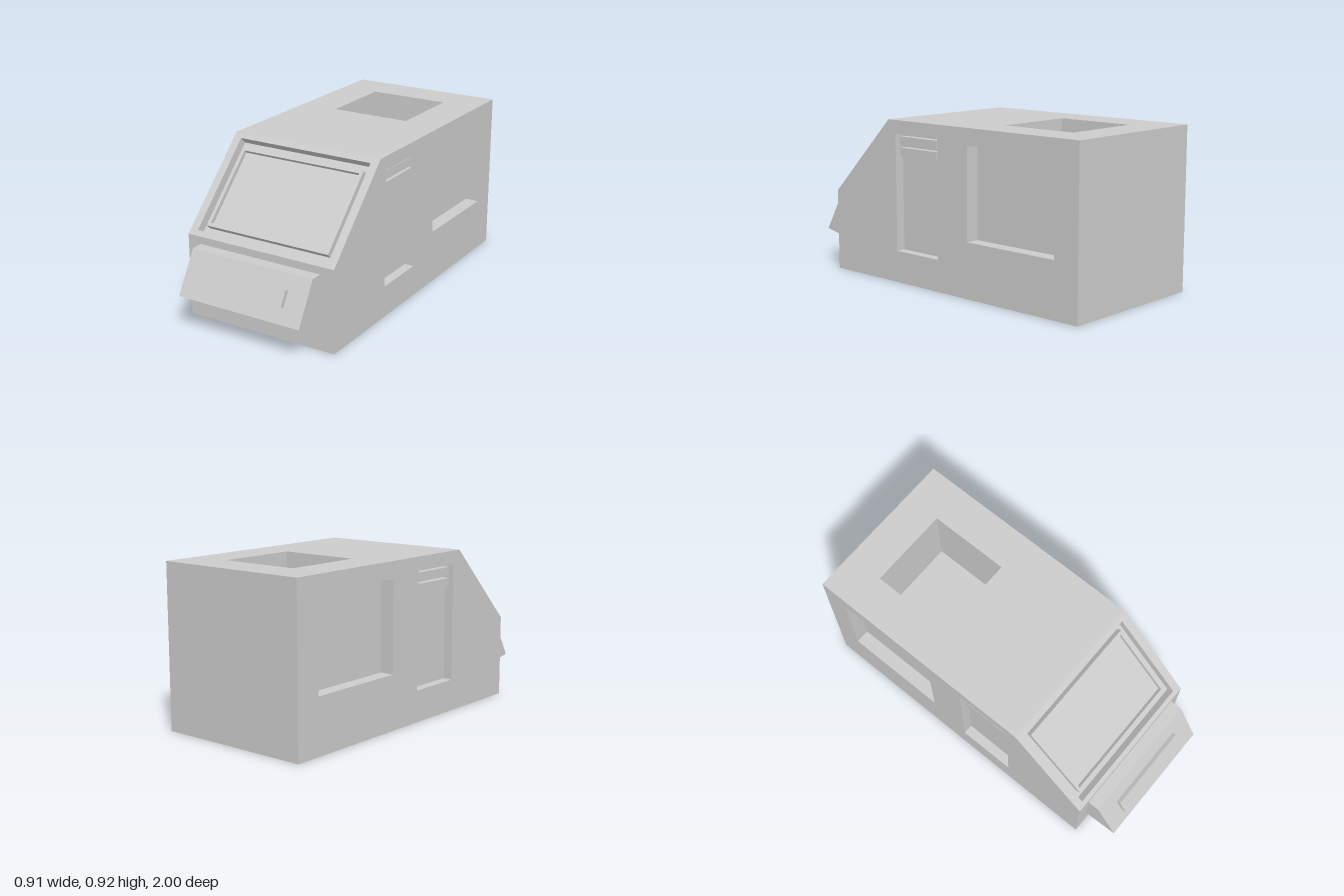
import * as THREE from 'three';

const material = new THREE.MeshStandardMaterial({ color: 0xcccccc, flatShading: true });
const W = 0.457, H = 0.917, FRONT = 0.803, BACK = -1, NOSE = 0.467, BROW = 0.353;

function add(parent, name, geometry, x = 0, y = 0, z = 0) {
  const mesh = new THREE.Mesh(geometry, material);
  mesh.name = name;
  mesh.position.set(x, y, z);
  parent.add(mesh);
  return mesh;
}

function rectPath(PathType, x, y, w, h) {
  const a = w / 2, b = h / 2;
  return new PathType([[-a, -b], [a, -b], [a, b], [-a, b]].map(([u, v]) => new THREE.Vector2(x + u, y + v)));
}

// Open-fronted box seen from the inside
function recessGeometry(w, h, d) {
  const g = new THREE.BoxGeometry(w, h, d);
  const index = Array.from(g.index.array);
  index.splice(24, 6);
  g.setIndex(index);
  g.clearGroups();
  g.scale(-1, 1, 1);
  g.computeVertexNormals();
  return g;
}

// Flat wall facing local +z, with sunken rectangles
function wall(parent, name, shape, recesses = []) {
  const group = new THREE.Group();
  group.name = name;
  for (const r of recesses) {
    shape.holes.push(rectPath(THREE.Path, r.x, r.y, r.w, r.h));
    add(group, r.name, recessGeometry(r.w, r.h, r.d), r.x, r.y, -r.d / 2);
  }
  add(group, name + 'Panel', new THREE.ShapeGeometry(shape));
  parent.add(group);
  return group;
}

export function createModel() {
  const model = new THREE.Group();
  model.name = 'vanBody';
  const rect = (w, h) => rectPath(THREE.Shape, 0, 0, w, h);

  // Side walls with door, louvres and rear window
  for (const s of [1, -1]) {
    const outline = [[BACK, 0], [FRONT, 0], [FRONT, NOSE], [BROW, H], [BACK, H]];
    const shape = new THREE.Shape(outline.map(([z, y]) => new THREE.Vector2(-s * z, y)));
    const side = wall(model, s > 0 ? 'leftSide' : 'rightSide', shape, [
      { name: 'doorRecess', x: -s * 0.132, y: 0.51, w: 0.328, h: 0.66, d: 0.055 },
      { name: 'windowRecess', x: s * 0.55, y: 0.567, w: 0.596, h: 0.514, d: 0.08 },
    ]);
    for (const y of [0.803, 0.741]) {
      add(side, 'doorLouvre', new THREE.BoxGeometry(0.286, 0.048, 0.04), -s * 0.132, y, -0.035);
    }
    side.rotation.y = s * Math.PI / 2;
    side.position.x = s * W;
  }

  // Roof with hatch opening
  const roof = wall(model, 'roof', rect(2 * W, BROW - BACK),
    [{ name: 'hatchWell', x: 0, y: 0.227, w: 0.47, h: 0.464, d: 0.42 }]);
  roof.rotation.x = -Math.PI / 2;
  roof.position.set(0, H, (BROW + BACK) / 2);

  // Sloping windscreen wall: recess, raised frame and sunken pane
  const slope = wall(model, 'windscreenWall', rect(2 * W, Math.hypot(FRONT - BROW, H - NOSE)),
    [{ name: 'windscreenRecess', x: 0, y: 0, w: 0.82, h: 0.572, d: 0.05 }]);
  const frame = rect(0.764, 0.488);
  frame.holes.push(rectPath(THREE.Path, 0, 0, 0.728, 0.448));
  add(slope, 'windscreenFrame', new THREE.ExtrudeGeometry(frame, { depth: 0.035, bevelEnabled: false }), 0, 0, -0.05);
  add(slope, 'windscreenPane', new THREE.PlaneGeometry(0.728, 0.448), 0, 0, -0.039);
  slope.rotation.x = -Math.PI / 4;
  slope.position.set(0, (H + NOSE) / 2, (FRONT + BROW) / 2);

  // Plain front, back and floor
  wall(model, 'frontWall', rect(2 * W, NOSE)).position.set(0, NOSE / 2, FRONT);
  const back = wall(model, 'backWall', rect(2 * W, H));
  back.rotation.y = Math.PI;
  back.position.set(0, H / 2, BACK);
  const floor = wall(model, 'floor', rect(2 * W, FRONT - BACK));
  floor.rotation.x = Math.PI / 2;
  floor.position.z = (FRONT + BACK) / 2;

  // Wedge bumper with a raised plate on its slanted face
  const profile = [[FRONT, 0.165], [1, 0.199], [0.87, 0.425], [FRONT, 0.425]];
  const wedge = new THREE.ExtrudeGeometry(
    new THREE.Shape(profile.map(([z, y]) => new THREE.Vector2(z, y))), { depth: 0.752, bevelEnabled: false });
  wedge.translate(0, 0, -0.376).rotateY(-Math.PI / 2);
  add(model, 'bumper', wedge);
  add(model, 'bumperPlate', new THREE.BoxGeometry(0.513, 0.09, 0.028), 0, 0.317, 0.946).rotation.x = -Math.PI / 6;

  return model;
}
